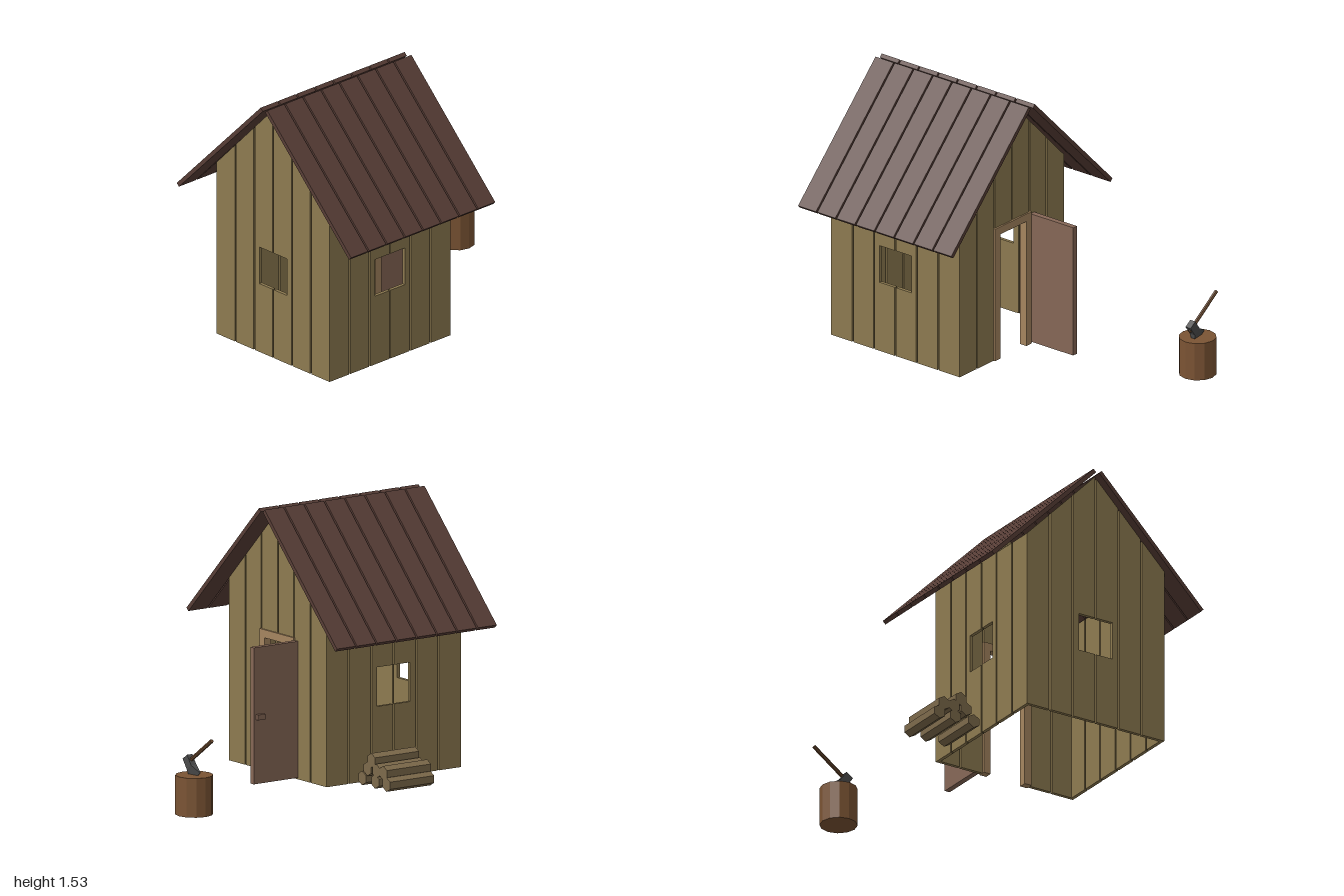
import * as THREE from 'three';

const mat = (color, flatShading = true) => new THREE.MeshStandardMaterial({ color, flatShading });
const WOOD = mat(0x8d7a50), ROOF = mat(0x573d36), DOOR = mat(0x866756), FRAME = mat(0xa5855f);
const LOG = mat(0x7d6a4b), STUMP = mat(0x7b5434), HANDLE = mat(0x6b4a2f), STEEL = mat(0x4c4c4c);
const GAP = 0.01, THICK = 0.02, BASE = 0.03;

function add(parent, name, geometry, material, x = 0, y = 0, z = 0) {
  const mesh = new THREE.Mesh(geometry, material);
  mesh.name = name;
  mesh.position.set(x, y, z);
  parent.add(mesh);
  return mesh;
}

function box(parent, name, material, x0, x1, y0, y1, z0, z1) {
  return add(parent, name, new THREE.BoxGeometry(x1 - x0, y1 - y0, z1 - z0), material,
    (x0 + x1) / 2, (y0 + y1) / 2, (z0 + z1) / 2);
}

// Wall of six upright planks; the opening [x0, x1, y0, y1] is notched out of them.
function plankWall(name, start, end, top, open) {
  const wall = new THREE.Group();
  wall.name = name;
  const pitch = (end - start) / 6;
  for (let i = 0; i < 6; i++) {
    const a = start + i * pitch + (i ? GAP / 2 : 0);
    const b = start + (i + 1) * pitch - (i < 5 ? GAP / 2 : 0);
    const pts = [];
    const [o0, o1, y0, y1] = open;
    const coversA = o0 <= a && o1 > a, coversB = o1 >= b && o0 < b;
    if (coversA && coversB) {
      pts.push([a, y1], [b, y1]);
    } else {
      pts.push([a, BASE], [b, BASE]);
      if (coversB) pts.push([b, y0], [o0, y0], [o0, y1], [b, y1]);
    }
    pts.push([b, top(b)], [a, top(a)]);
    if (coversA && !coversB) pts.push([a, y1], [o1, y1], [o1, y0], [a, y0]);
    const shape = new THREE.Shape(pts.map(p => new THREE.Vector2(...p)));
    add(wall, 'wallPlank', new THREE.ExtrudeGeometry(shape, { depth: THICK, bevelEnabled: false }), WOOD);
  }
  return wall;
}

function buildWalls() {
  const walls = new THREE.Group();
  walls.name = 'walls';
  const gable = x => 1.06 + (0.45 - Math.abs(x - 0.05)) * 1.02;
  const front = plankWall('frontWall', -0.4, 0.5, gable, [-0.06, 0.16, 0.44, 0.66]);
  front.position.z = 0.925;
  const back = plankWall('backWall', -0.4, 0.5, gable, [-0.1, 0.2, BASE, 0.8]);
  back.position.z = 0.03;
  walls.add(front, back);
  for (const [name, x] of [['leftWall', 0.5], ['rightWall', -0.38]]) {
    const side = plankWall(name, 0.03, 0.945, () => 1.06, [0.375, 0.6, 0.44, 0.66]);
    side.rotation.y = -Math.PI / 2;
    side.position.x = x;
    walls.add(side);
  }
  return walls;
}

function buildRoof() {
  const roof = new THREE.Group();
  roof.name = 'roof';
  const pitch = 1.1 / 8;
  for (const [x, tilt] of [[-0.3225, 1], [0.3825, -1]]) {
    for (let i = 0; i < 8; i++) {
      const board = add(roof, 'roofPlank', new THREE.BoxGeometry(0.945, 0.024, pitch - GAP), ROOF,
        x, 1.19, -0.1 + (i + 0.5) * pitch);
      board.rotation.z = tilt * Math.PI / 4;
    }
  }
  return roof;
}

function buildDoorway() {
  const doorway = new THREE.Group();
  doorway.name = 'doorway';
  box(doorway, 'doorPost', FRAME, -0.107, -0.062, BASE, 0.82, 0.02, 0.065);
  box(doorway, 'doorPost', FRAME, 0.162, 0.207, BASE, 0.82, 0.02, 0.065);
  box(doorway, 'doorLintel', FRAME, -0.062, 0.162, 0.775, 0.82, 0.02, 0.065);
  // Door swung wide open, with its knob near the free edge
  box(doorway, 'door', DOOR, -0.14, -0.108, 0.04, 0.805, -0.275, 0.028);
  box(doorway, 'doorKnob', DOOR, -0.16, -0.14, 0.4, 0.43, -0.26, -0.21);
  return doorway;
}

function buildWoodpile() {
  const pile = new THREE.Group();
  pile.name = 'woodpile';
  const rows = [[0.07, -0.695, -0.59, -0.47], [0.13, -0.665, -0.6, -0.52], [0.183, -0.555]];
  for (const [y, ...xs] of rows) {
    for (const x of xs) {
      const log = add(pile, 'log', new THREE.CylinderGeometry(0.04, 0.04, 0.3, 6), LOG, x, y, 0.37);
      log.rotation.x = Math.PI / 2;
    }
  }
  return pile;
}

function buildChoppingBlock() {
  const group = new THREE.Group();
  group.name = 'choppingBlock';
  group.position.set(-0.43, 0, -0.895);
  add(group, 'stump', new THREE.CylinderGeometry(0.105, 0.105, 0.22, 12), STUMP, 0, 0.11, 0);

  // Axe stuck in the stump: handle along local x, blade towards local -y
  const axe = new THREE.Group();
  axe.name = 'axe';
  axe.position.set(0.045, 0.288, 0);
  axe.rotation.z = -0.62;
  const handle = add(axe, 'axeHandle', new THREE.CylinderGeometry(0.011, 0.011, 0.285, 6), HANDLE, -0.112, 0, 0);
  handle.rotation.z = Math.PI / 2;
  const head = new THREE.BoxGeometry(0.05, 0.13, 0.036, 1, 2, 1);
  const p = head.attributes.position;
  for (let i = 0; i < p.count; i++) {
    if (p.getY(i) < -0.01) p.setXYZ(i, p.getX(i) * 2.2, p.getY(i), p.getZ(i) * 0.12);
  }
  head.computeVertexNormals();
  add(axe, 'axeHead', head, STEEL, 0, -0.035, 0);
  group.add(axe);
  return group;
}

export function createModel() {
  const model = new THREE.Group();
  model.name = 'woodshed';
  model.add(buildWalls(), buildRoof(), buildDoorway(), buildWoodpile(), buildChoppingBlock());
  return model;
}
